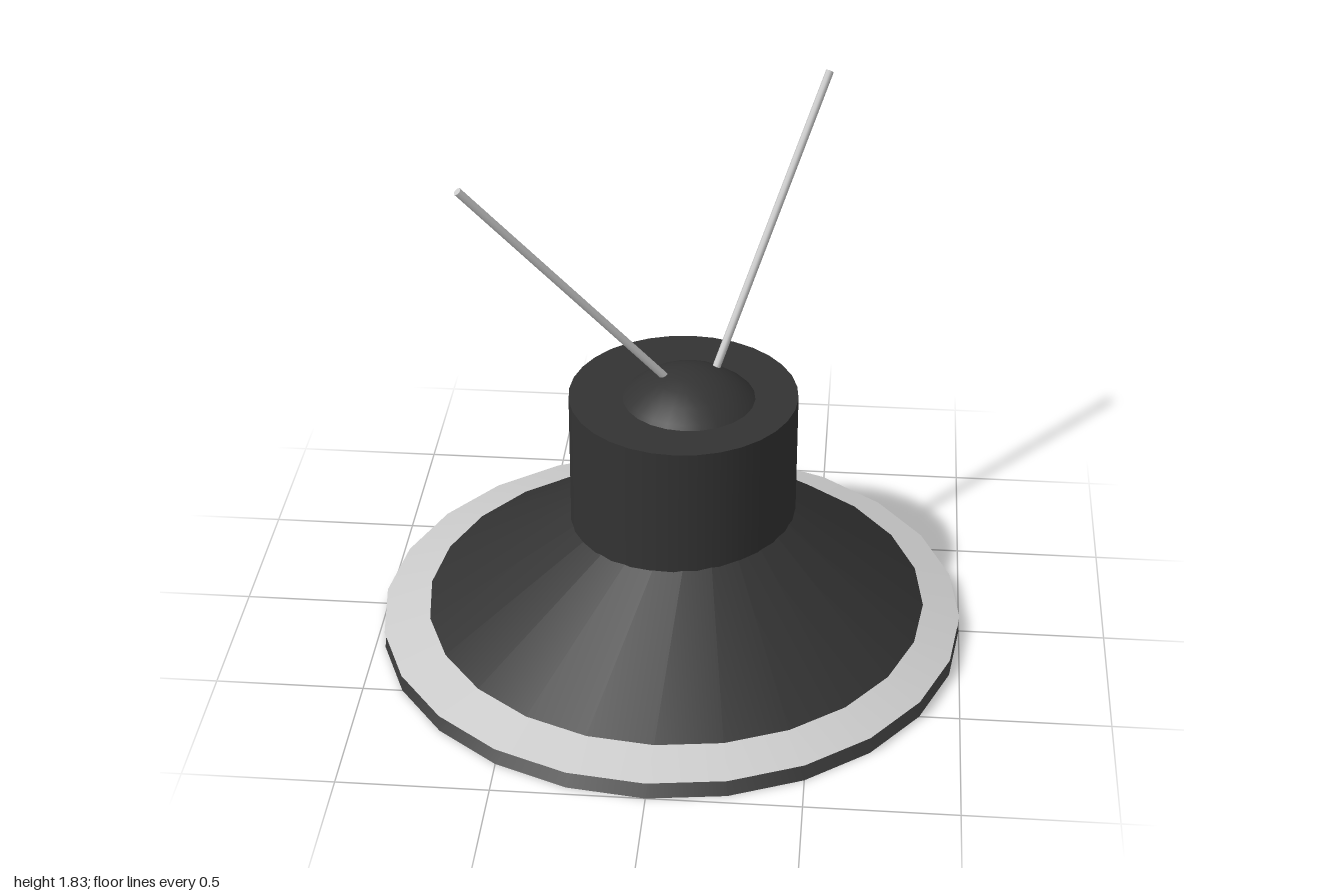
import * as THREE from 'three';

const darkMaterial = new THREE.MeshStandardMaterial({ color: 0x333333, side: THREE.DoubleSide });
const greyMaterial = new THREE.MeshStandardMaterial({ color: 0xcccccc, side: THREE.DoubleSide });

export function createModel() {
  const model = new THREE.Group();

  const add = (name, geometry, material) => {
    const mesh = new THREE.Mesh(geometry, material);
    mesh.name = name;
    model.add(mesh);
    return mesh;
  };

  // Open cone of radius 1 whose apex leans sideways
  const leaningCone = (baseY, apex) => {
    const h = apex.y - baseY;
    const lean = new THREE.Matrix4().set(
      1, apex.x / h, 0, 0,
      0, 1, 0, 0,
      0, apex.z / h, 1, 0,
      0, 0, 0, 1);
    return new THREE.ConeGeometry(1, h, 24, 1, true)
      .translate(0, h / 2, 0)
      .applyMatrix4(lean)
      .translate(0, baseY, 0);
  };

  // Thin rod between two points
  const rod = (name, from, to) => {
    const a = new THREE.Vector3(...from);
    const direction = new THREE.Vector3(...to).sub(a);
    const length = direction.length();
    const geometry = new THREE.CylinderGeometry(0.0135, 0.0135, length, 8).translate(0, length / 2, 0);
    const mesh = add(name, geometry, greyMaterial);
    mesh.position.copy(a);
    mesh.quaternion.setFromUnitVectors(new THREE.Vector3(0, 1, 0), direction.normalize());
  };

  // Steep outer skirt and the shallow brim that cuts through it
  add('skirt', leaningCone(0, new THREE.Vector3(0.11, 0.737, 0.03)), darkMaterial);
  add('brim', leaningCone(0.06, new THREE.Vector3(0.11, 0.38, 0.03)), greyMaterial);

  // Drum rising out of the skirt
  const drum = add('drum', new THREE.CylinderGeometry(1, 1, 0.55, 32), darkMaterial);
  drum.scale.set(0.383, 1, 0.393);
  drum.position.set(0.04, 0.635, 0);

  // Egg-shaped core, showing above the drum and below the brim
  const core = add('core', new THREE.SphereGeometry(1, 24, 20), darkMaterial);
  core.scale.set(0.355, 0.44, 0.355);
  core.position.set(0.06, 0.567, 0.02);

  // Two splayed antennas
  rod('rightAntenna', [-0.015, 0.98, 0.022], [-0.63, 1.8, 0.35]);
  rod('leftAntenna', [0.14, 0.965, -0.064], [0.48, 1.825, -0.605]);

  return model;
}
